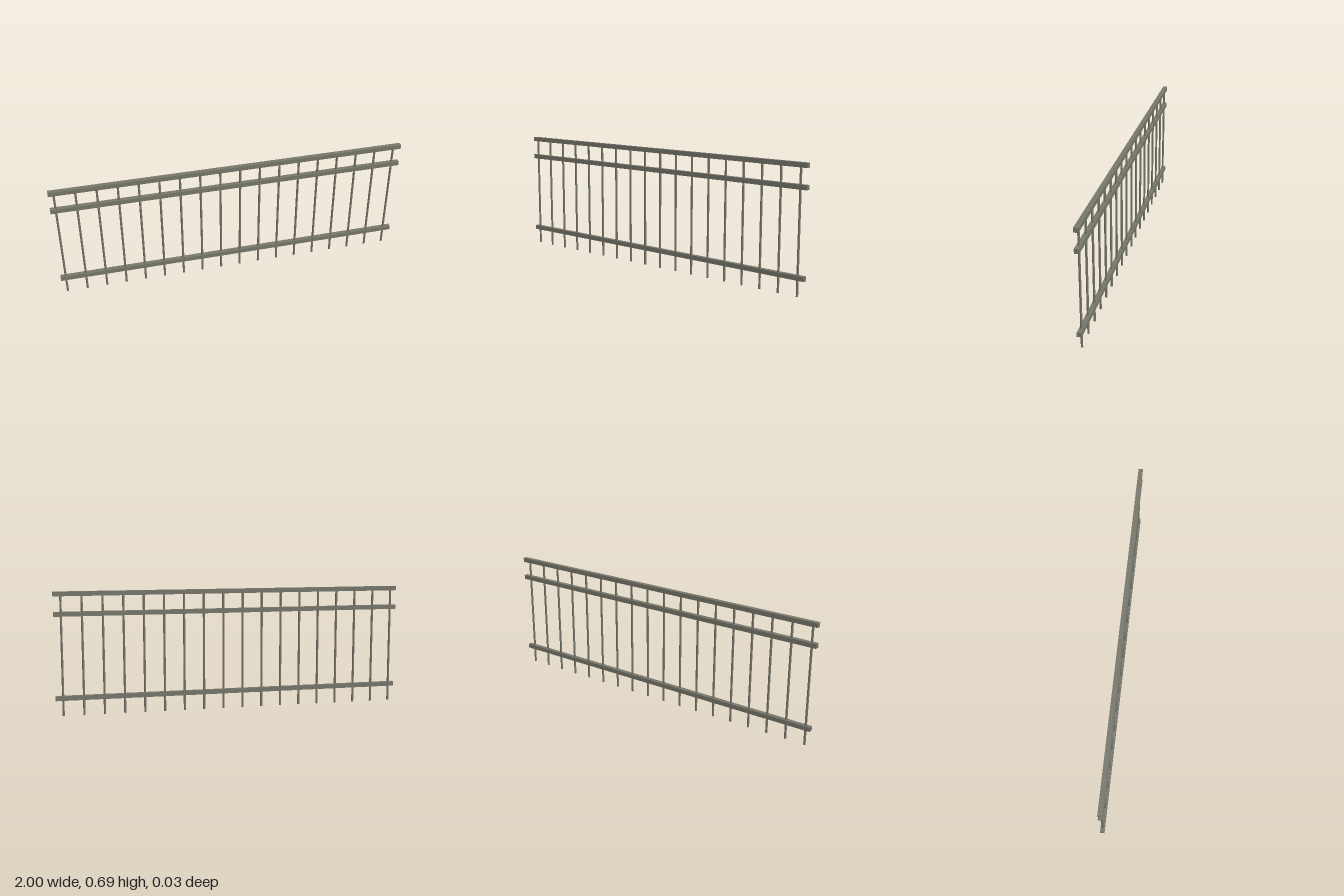
import * as THREE from 'three';

export function createModel() {
  const fence = new THREE.Group();
  fence.name = 'fence';
  const metal = new THREE.MeshStandardMaterial({ color: 0x77766b });
  metal.name = 'grey metal';

  // Three square horizontal rails
  const railSize = 0.025;
  const railGeometry = new THREE.BoxGeometry(2, railSize, railSize);
  const rails = { bottomRail: 0.1, middleRail: 0.566, topRail: 0.677 };
  for (const [name, y] of Object.entries(rails)) {
    const rail = new THREE.Mesh(railGeometry, metal);
    rail.name = name;
    rail.position.y = y;
    fence.add(rail);
  }

  // Evenly spaced round pickets, running from the ground into the top rail
  const count = 18, firstX = -0.97, lastX = 0.958, height = 0.67;
  const picketGeometry = new THREE.CylinderGeometry(0.0063, 0.0063, height, 10);
  const pickets = new THREE.Group();
  pickets.name = 'pickets';
  for (let i = 0; i < count; i++) {
    const picket = new THREE.Mesh(picketGeometry, metal);
    picket.name = `picket${i + 1}`;
    picket.position.set(firstX + (lastX - firstX) * i / (count - 1), height / 2, 0.0005);
    pickets.add(picket);
  }
  fence.add(pickets);
  return fence;
}
